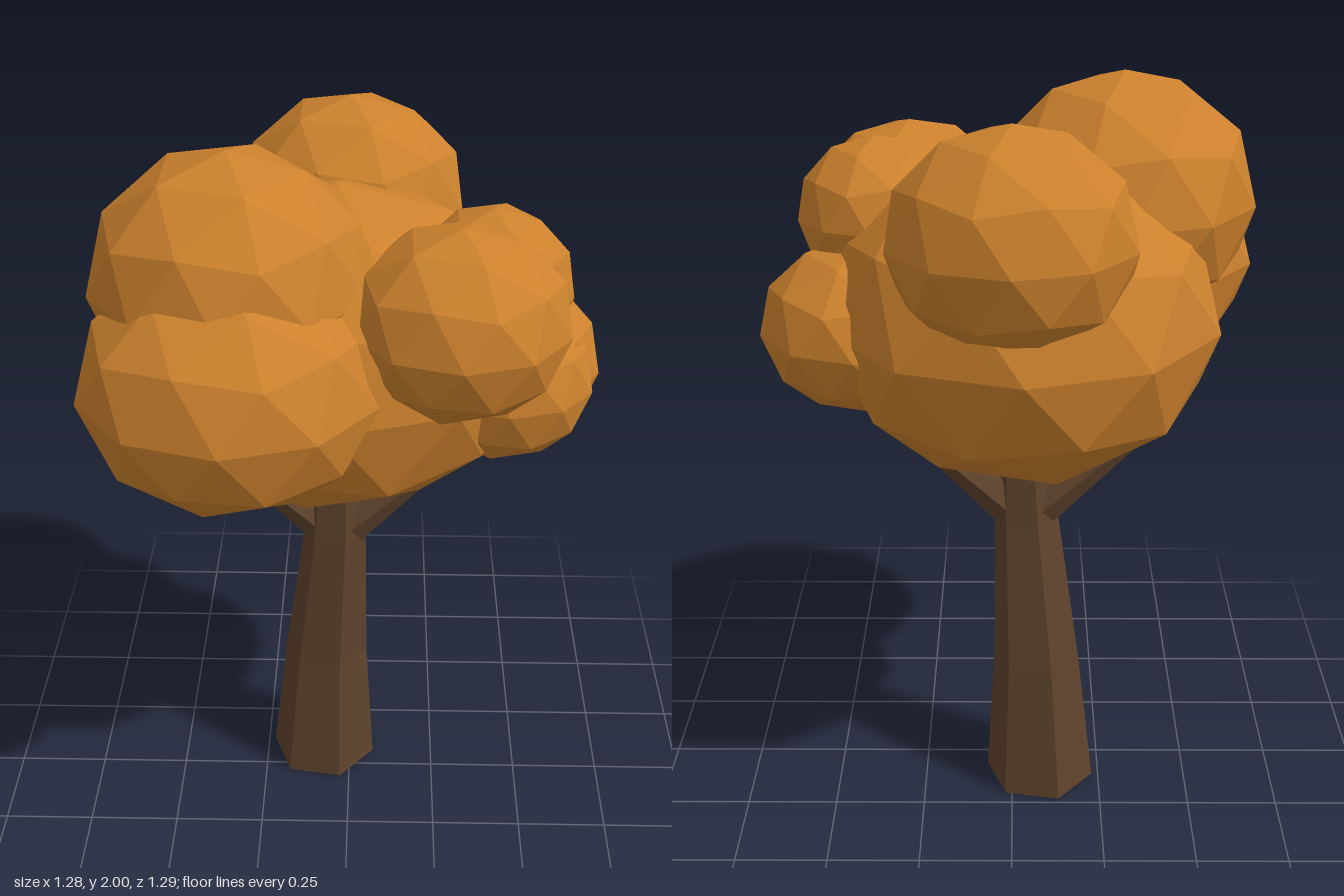
import * as THREE from 'three';

const leaf = new THREE.MeshStandardMaterial({ color: 0xcc812d, flatShading: true });
leaf.name = 'autumn leaves';
const bark = new THREE.MeshStandardMaterial({ color: 0x5e432c, flatShading: true });
bark.name = 'brown bark';

// Faceted leaf clump: an icosphere standing on a corner, fitted to a centre and half sizes
function clump(name, center, half) {
  const geo = new THREE.IcosahedronGeometry(1, 1);
  geo.rotateX(-Math.atan((1 + Math.sqrt(5)) / 2)).rotateY(Math.PI / 2);
  geo.computeBoundingBox();
  const { max } = geo.boundingBox;
  geo.scale(half[0] / max.x, half[1] / max.y, half[2] / max.z);
  geo.computeVertexNormals();
  const mesh = new THREE.Mesh(geo, leaf);
  mesh.name = name;
  mesh.position.set(...center);
  return mesh;
}

// Six-sided trunk, leaning and narrowing through rows of [y, x, z, radius]
function trunk() {
  const rows = [
    [1.1, -0.03, -0.05, 0.065],
    [0.83, -0.04, -0.053, 0.087],
    [0.4, -0.068, -0.079, 0.12],
    [0.005, -0.08, -0.088, 0.154],
  ];
  const geo = new THREE.CylinderGeometry(1, 1, 1, 6, rows.length - 1, false, Math.PI / 9);
  const p = geo.attributes.position;
  for (let i = 0; i < p.count; i++) {
    const [y, x, z, r] = rows[Math.round((0.5 - p.getY(i)) * (rows.length - 1))];
    p.setXYZ(i, x + p.getX(i) * r, y, z + p.getZ(i) * r);
  }
  geo.computeVertexNormals();
  const mesh = new THREE.Mesh(geo, bark);
  mesh.name = 'trunk';
  return mesh;
}

// Tapered branch between two points
function branch(name, from, to) {
  const a = new THREE.Vector3(...from);
  const b = new THREE.Vector3(...to);
  const dir = b.clone().sub(a);
  const mesh = new THREE.Mesh(new THREE.CylinderGeometry(0.027, 0.064, dir.length(), 6), bark);
  mesh.name = name;
  mesh.position.copy(a).add(b).multiplyScalar(0.5);
  mesh.quaternion.setFromUnitVectors(new THREE.Vector3(0, 1, 0), dir.normalize());
  return mesh;
}

export function createModel() {
  const tree = new THREE.Group();
  tree.name = 'autumn tree';
  tree.add(
    trunk(),
    branch('rightBranch', [-0.06, 0.85, -0.055], [-0.33, 1.07, -0.055]),
    branch('leftBranch', [-0.01, 0.85, -0.055], [0.253, 1.07, -0.055])
  );

  const crown = new THREE.Group();
  crown.name = 'crown';
  crown.add(
    clump('mainClump', [-0.03, 1.42, -0.07], [0.488, 0.43, 0.51]),
    clump('upperRightClump', [-0.285, 1.675, 0.123], [0.335, 0.325, 0.355]),
    clump('frontRightClump', [-0.28, 1.472, 0.283], [0.36, 0.313, 0.36]),
    clump('backClump', [0, 1.7, -0.362], [0.292, 0.277, 0.283]),
    clump('frontLeftClump', [0.27, 1.612, 0.218], [0.262, 0.24, 0.276]),
    clump('upperLeftClump', [0.353, 1.64, 0.075], [0.195, 0.205, 0.21]),
    clump('sideLeftClump', [0.385, 1.383, -0.05], [0.255, 0.223, 0.29]),
    clump('lowerLeftClump', [0.4, 1.375, 0.065], [0.215, 0.205, 0.205])
  );
  tree.add(crown);
  return tree;
}
